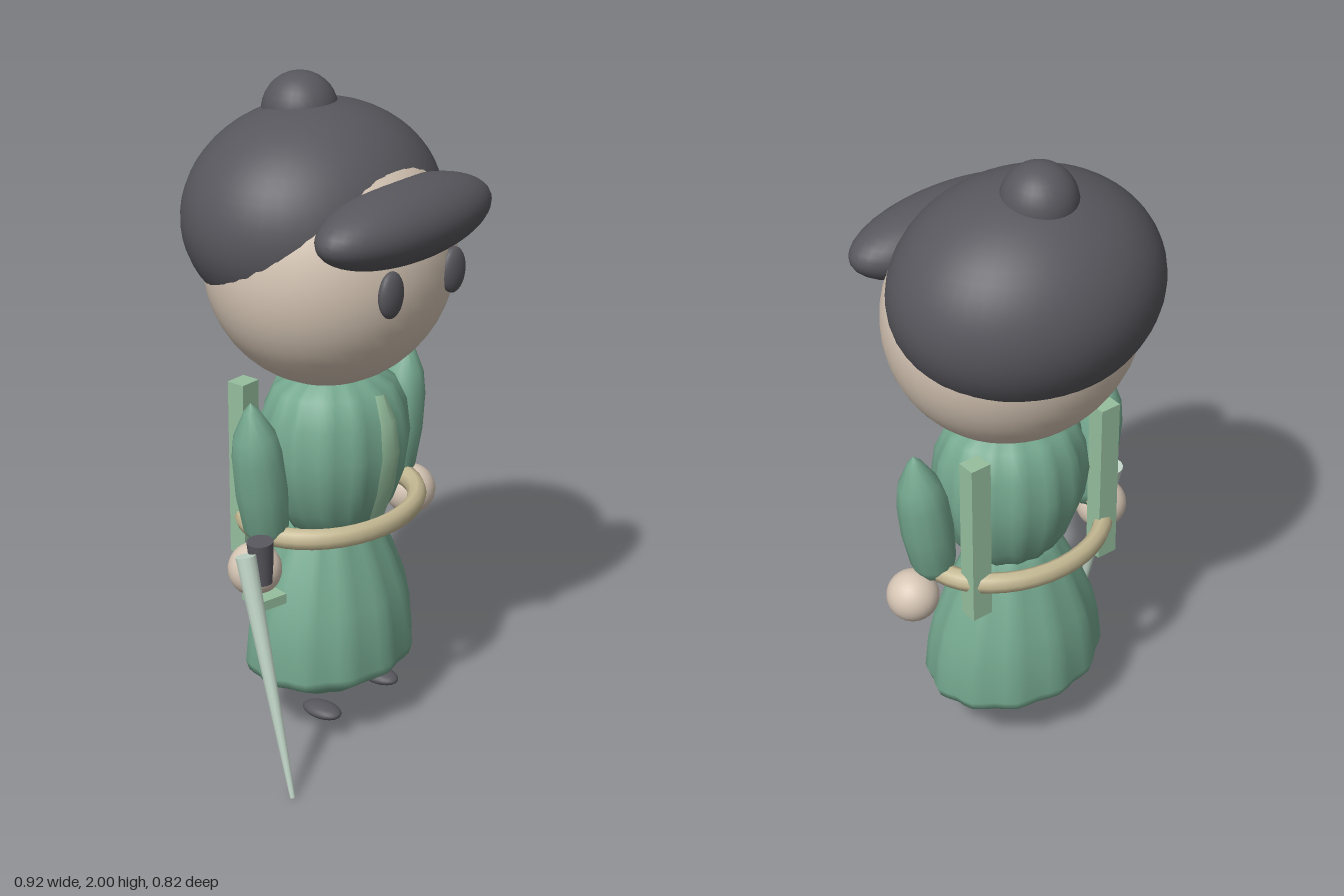
import * as THREE from 'three';
import { mergeVertices } from 'three/addons/utils/BufferGeometryUtils.js';

const CX = 0.0175; // the figure's own centre line

function paint(name, color) {
  const m = new THREE.MeshStandardMaterial({ color });
  m.name = name;
  return m;
}

export function createModel() {
  const root = new THREE.Group();
  root.name = 'capedFigure';

  const charcoal = paint('charcoal', 0x57575d);
  const skin = paint('skin', 0xd6c6b5);
  const green = paint('robeGreen', 0x75a88f);
  const light = paint('lightGreen', 0x96bf9e);
  const pale = paint('paleGreen', 0xc2d6c8);
  const straw = paint('straw', 0xc6ba94);

  function add(name, geo, mat, x = 0, y = 0, z = 0) {
    const m = new THREE.Mesh(geo, mat);
    m.name = name;
    m.position.set(x, y, z);
    root.add(m);
    return m;
  }
  function ellipsoid(name, mat, pos, radii, seg = 40) {
    const geo = new THREE.SphereGeometry(1, seg, Math.round(seg * 0.6));
    geo.scale(...radii);
    return add(name, geo, mat, ...pos);
  }
  // Cone frustum between two points
  function rod(name, mat, a, b, ra, rb, sides) {
    const A = new THREE.Vector3(...a), B = new THREE.Vector3(...b);
    const d = B.clone().sub(A);
    const m = add(name, new THREE.CylinderGeometry(rb, ra, d.length(), sides), mat);
    m.position.copy(A).add(B).multiplyScalar(0.5);
    m.quaternion.setFromUnitVectors(new THREE.Vector3(0, 1, 0), d.normalize());
    return m;
  }
  // Lathe with soft vertical pleats, flattened front to back
  function pleated(points, count, depth, zScale) {
    const profile = points.map(([r, y]) => new THREE.Vector2(r, y));
    let geo = new THREE.LatheGeometry(profile, count * 4);
    geo.deleteAttribute('uv');
    geo.deleteAttribute('normal');
    const p = geo.attributes.position;
    for (let i = 0; i < p.count; i++) {
      const x = p.getX(i), z = p.getZ(i);
      const k = 1 - depth * (0.5 - 0.5 * Math.cos(count * Math.atan2(x, z)));
      p.setXYZ(i, x * k, p.getY(i), z * k * zScale);
    }
    geo = mergeVertices(geo, 1e-5);
    geo.computeVertexNormals();
    return geo;
  }

  // Head, hair, bun and front roll
  ellipsoid('head', skin, [CX, 1.49, 0], [0.387, 0.383, 0.35]);
  ellipsoid('hair', charcoal, [CX, 1.605, -0.063], [0.412, 0.32, 0.35], 48);
  ellipsoid('bun', charcoal, [CX, 1.89, -0.113], [0.11, 0.11, 0.11], 28);
  ellipsoid('frontRoll', charcoal, [CX, 1.642, 0.27], [0.352, 0.113, 0.142]);

  // Robe: upper body and skirt
  add('torso', pleated([[0, 0.66], [0.15, 0.665], [0.2, 0.74], [0.235, 0.83], [0.248, 0.92],
    [0.235, 1.02], [0.195, 1.1], [0.1, 1.15], [0, 1.16]], 14, 0.05, 0.86), green, CX, 0, 0.015);
  add('skirt', pleated([[0, 0.065], [0.16, 0.13], [0.285, 0.2], [0.296, 0.23], [0.285, 0.34],
    [0.265, 0.43], [0.22, 0.54], [0.16, 0.66], [0.13, 0.7], [0, 0.71]], 12, 0.05, 0.79), green, CX);

  // Front placket following the chest
  const placket = new THREE.BufferGeometry();
  const rows = [[0.7, 0.18, 0.036], [0.8, 0.214, 0.04], [0.92, 0.234, 0.04], [1.02, 0.222, 0.034], [1.1, 0.188, 0.02]];
  const verts = [], idx = [];
  rows.forEach(([y, z, w], i) => {
    verts.push(-w, y, z - 0.008, 0, y, z + 0.004, w, y, z - 0.008);
    if (i) for (const s of [0, 1]) {
      const a = (i - 1) * 3 + s;
      idx.push(a, a + 1, a + 4, a, a + 4, a + 3);
    }
  });
  placket.setAttribute('position', new THREE.Float32BufferAttribute(verts, 3));
  placket.setIndex(idx);
  placket.computeVertexNormals();
  const placketPaint = light.clone();
  placketPaint.side = THREE.DoubleSide;
  add('placket', placket, placketPaint, CX, 0, 0.004);

  // Hoop belt
  const hoop = new THREE.TorusGeometry(0.294, 0.033, 8, 40);
  hoop.rotateX(Math.PI / 2);
  hoop.scale(1, 1, 0.79);
  add('belt', hoop, straw, CX, 0.71, 0.002);

  // Mirrored parts
  const sleeve = [[0, -0.24], [0.045, -0.225], [0.068, -0.18], [0.078, -0.06], [0.075, 0.05],
    [0.062, 0.12], [0.022, 0.2], [0, 0.225]].map(([r, y]) => new THREE.Vector2(r, y));
  for (const [side, s] of [['left', 1], ['right', -1]]) {
    ellipsoid(side + 'Eye', charcoal, [CX + s * 0.14, 1.475, 0.333], [0.048, 0.068, 0.025], 24);
    const arm = add(side + 'Sleeve', new THREE.LatheGeometry(sleeve, 12), green, CX + s * 0.322, 0.915, 0.005);
    arm.rotation.z = -s * 0.15;
    ellipsoid(side + 'Hand', skin, [CX + s * 0.362, 0.627, 0.02], [0.079, 0.079, 0.079], 28);
    add(side + 'BackBar', new THREE.BoxGeometry(0.067, 0.54, 0.058), light, CX + s * 0.238, 0.865, -0.128);
    ellipsoid(side + 'Foot', charcoal, [CX + s * 0.138, 0.084, 0.084], [0.042, 0.022, 0.068], 20);
  }

  // Sword held in the right hand
  rod('blade', pale, [-0.453, 0.003, 0.253], [-0.425, 0.71, 0.058], 0.008, 0.031, 12);
  rod('grip', charcoal, [-0.368, 0.61, 0.07], [-0.377, 0.742, 0.07], 0.03, 0.039, 16);
  const guard = add('guard', new THREE.BoxGeometry(0.085, 0.03, 0.1), light, -0.362, 0.56, 0.07);
  guard.rotation.y = -0.2;

  return root;
}
